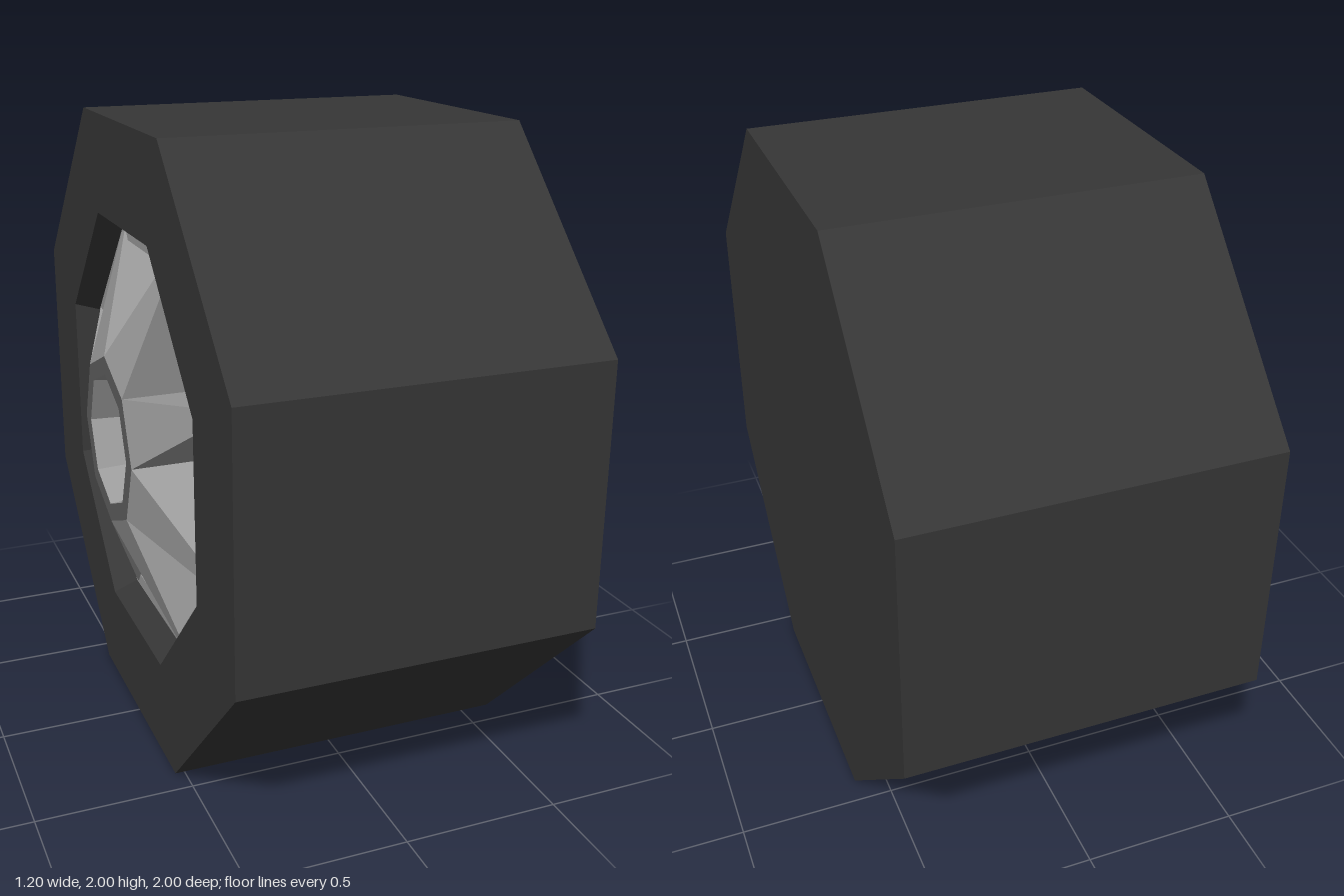
import * as THREE from 'three';

const tyreMat = new THREE.MeshStandardMaterial({ color: 0x363636 });
tyreMat.name = 'tyre rubber';
const rimMat = new THREE.MeshStandardMaterial({ color: 0x9c9c9c });
rimMat.name = 'rim grey';
const hubMat = new THREE.MeshStandardMaterial({ color: 0x606060 });
hubMat.name = 'hub dark grey';

const EIGHTH = Math.PI / 4;

// Faceted copy of a geometry, one normal per face
function faceted(geometry) {
  const flat = geometry.toNonIndexed();
  flat.computeVertexNormals();
  return flat;
}

// Eight-sided turned part; profile points are [radius, height along the axle]
function octagonal(name, profile, phiStart, material) {
  const points = profile.map(([r, h]) => new THREE.Vector2(r, h));
  const mesh = new THREE.Mesh(faceted(new THREE.LatheGeometry(points, 8, phiStart)), material);
  mesh.name = name;
  return mesh;
}

// Spoke that is as wide as a hub side and narrows and slopes down to the rim
function spokeGeometry() {
  const geometry = new THREE.BoxGeometry(1, 1, 1);
  const p = geometry.attributes.position;
  for (let i = 0; i < p.count; i++) {
    const outer = p.getX(i) > 0;
    const top = p.getY(i) > 0;
    const side = Math.sign(p.getZ(i));
    const halfWidth = outer ? 0.022 : 0.28 * Math.sin(EIGHTH / 2);
    const radius = outer ? 0.67 : 0.28 * Math.cos(EIGHTH / 2);
    p.setXYZ(i, radius, top ? (outer ? 0.455 : 0.6) : 0.37, side * halfWidth);
  }
  return faceted(geometry);
}

export function createModel() {
  const model = new THREE.Group();
  model.name = 'wheel';
  const R = 1 / Math.cos(EIGHTH / 2);

  // Axle group: local +y becomes the outer side at -x
  const axle = new THREE.Group();
  axle.name = 'wheelOnAxle';
  axle.rotation.z = Math.PI / 2;
  axle.position.y = 1;
  model.add(axle);

  // Tyre with a plain inner side and a recess for the rim
  axle.add(octagonal('tyre', [
    [0, -0.6], [R, -0.6], [R, 0.53], [0.735, 0.53], [0.69, 0.45], [0.69, 0.37], [0, 0.37],
  ], EIGHTH / 2, tyreMat));

  // Rim ring around the spoke openings
  axle.add(octagonal('rimRing', [[0.69, 0.452], [0.645, 0.452], [0.645, 0.37]], EIGHTH / 2, rimMat));

  // Spokes
  const spokes = new THREE.Group();
  spokes.name = 'spokes';
  const geometry = spokeGeometry();
  for (let i = 0; i < 8; i++) {
    const spoke = new THREE.Mesh(geometry, rimMat);
    spoke.name = 'spoke';
    spoke.rotation.y = (i + 0.5) * EIGHTH;
    spokes.add(spoke);
  }
  axle.add(spokes);

  // Hub: dark edge with a recessed cup, whose floor sits above the spoke bases
  axle.add(octagonal('hubEdge', [[0.28, 0.6], [0.22, 0.6]], 0, hubMat));
  axle.add(octagonal('hubCup', [[0.22, 0.6], [0.21, 0.5], [0, 0.5]], 0, rimMat));

  return model;
}
